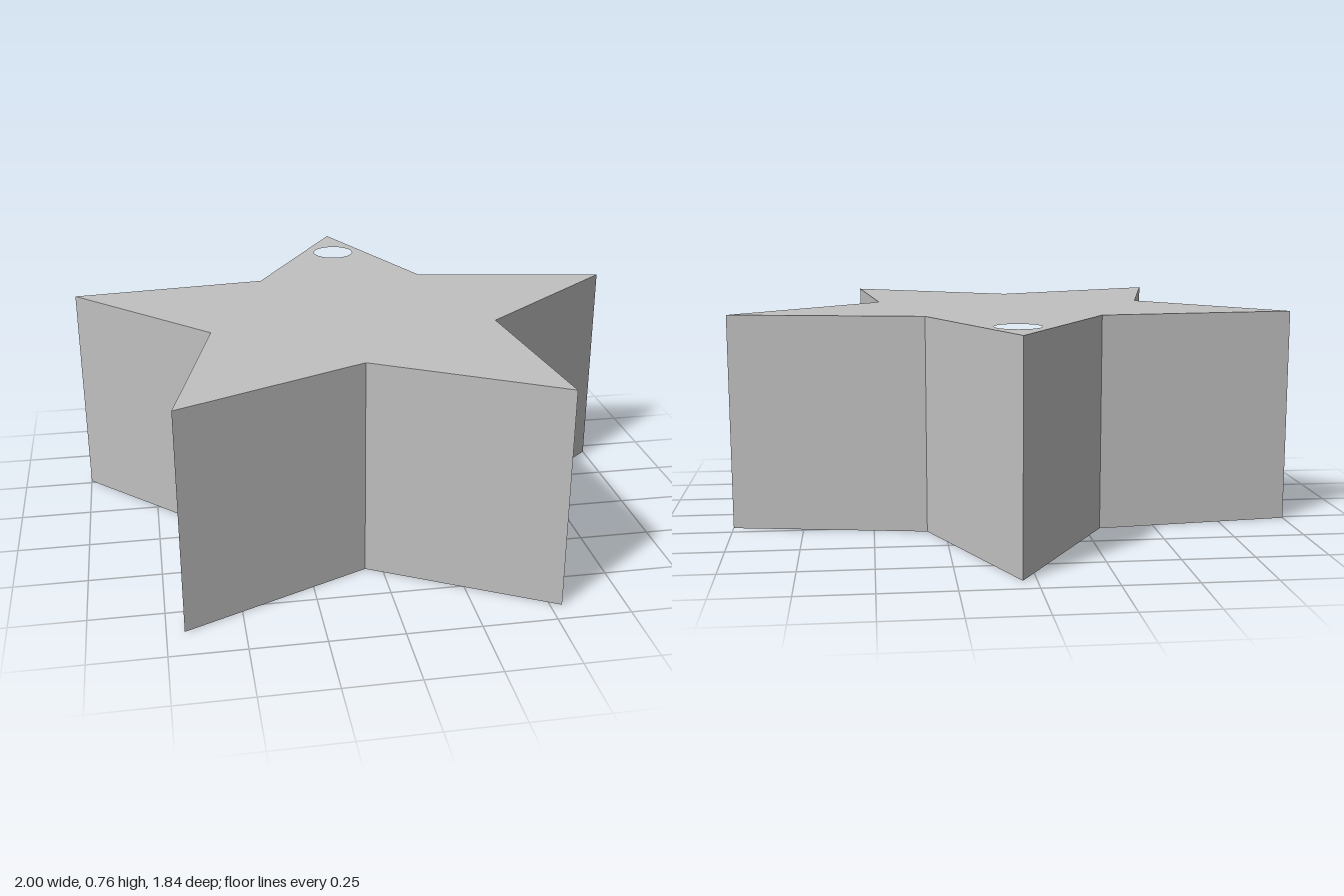
import * as THREE from 'three';
import { toCreasedNormals } from 'three/addons/utils/BufferGeometryUtils.js';

const HEIGHT = 0.765;

// Star outline as [x, z], clockwise from the back tip, tips and notches alternating
const OUTLINE = [
  [0.045, -0.92], [0.313, -0.315],
  [1, -0.195], [0.465, 0.255],
  [0.54, 0.92], [-0.058, 0.583],
  [-0.692, 0.87], [-0.532, 0.215],
  [-1, -0.265], [-0.302, -0.338],
];

export function createModel() {
  const grey = new THREE.MeshStandardMaterial({ color: 0xc0c0c0 });
  grey.name = 'light grey';

  // Shape y runs towards the back (-z)
  const shape = new THREE.Shape(OUTLINE.map(([x, z]) => new THREE.Vector2(x, -z)));

  // Round hole through the back point
  const hole = new THREE.Path();
  hole.absarc(0.032, 0.673, 0.078, 0, Math.PI * 2, true);
  shape.holes.push(hole);

  // Thick star slab, stood on the ground, with a smooth bore and sharp edges
  const extruded = new THREE.ExtrudeGeometry(shape, {
    depth: HEIGHT, bevelEnabled: false, curveSegments: 24,
  });
  extruded.rotateX(-Math.PI / 2);
  extruded.clearGroups();

  const star = new THREE.Mesh(toCreasedNormals(extruded, Math.PI / 6), grey);
  star.name = 'starBody';

  const group = new THREE.Group();
  group.name = 'starPendant';
  group.add(star);
  return group;
}
